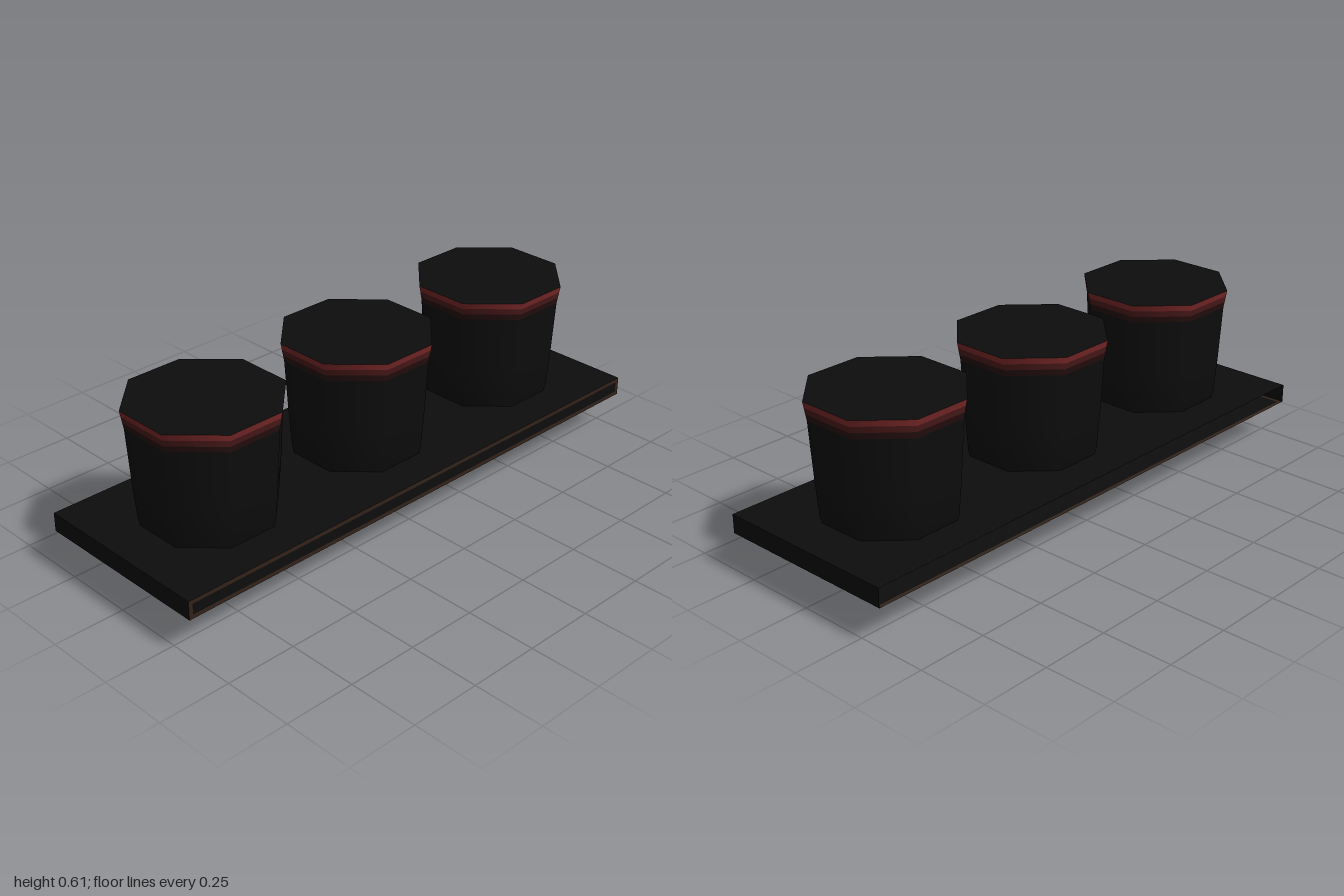
import * as THREE from 'three';

const SIDES = 8;
const FLAT = Math.cos(Math.PI / SIDES); // flat-to-flat half width over corner radius

const paint = (color) => new THREE.MeshStandardMaterial({ color, side: THREE.DoubleSide });
const black = paint(0x0d0d0d);
const brown = paint(0x33231a);
const rimReds = [0x260f0f, 0x4c1a1a, 0x7a2828].map(paint);

function add(group, name, geometry, material) {
  const mesh = new THREE.Mesh(geometry, material);
  mesh.name = name;
  group.add(mesh);
  return mesh;
}

// Eight-sided wall through [half width, height] points, flats facing the axes
function wall(points) {
  const profile = points.map(([r, y]) => new THREE.Vector2(r / FLAT, y));
  return new THREE.LatheGeometry(profile, SIDES, Math.PI / SIDES);
}

function createPot() {
  const pot = new THREE.Group();
  pot.name = 'pot';
  add(pot, 'pointedBase', wall([[0, 0], [0.165, 0.056]]), black);
  add(pot, 'body', wall([[0.165, 0.056], [0.213, 0.222], [0.222, 0.345], [0.233, 0.548]]), black);

  // Rim brightening towards the top
  const rimAt = (t) => [0.233 + 0.01 * t, 0.548 + 0.064 * t];
  rimReds.forEach((material, i) => {
    add(pot, 'rimBand', wall([rimAt(i / 3), rimAt((i + 1) / 3)]), material);
  });

  const lid = new THREE.CircleGeometry(0.243 / FLAT, SIDES, Math.PI / SIDES);
  lid.rotateX(-Math.PI / 2).translate(0, 0.612, 0);
  add(pot, 'lid', lid, black);
  return pot;
}

// Flat dark panel with a thin brown border
function borderedPanel(name, w, h, border) {
  const panel = new THREE.Group();
  panel.name = name;
  const rect = (Type, a, b) => new Type([
    new THREE.Vector2(-a, -b), new THREE.Vector2(a, -b),
    new THREE.Vector2(a, b), new THREE.Vector2(-a, b),
  ]);
  const outline = rect(THREE.Shape, w / 2, h / 2);
  outline.holes.push(rect(THREE.Path, w / 2 - border, h / 2 - border));
  add(panel, 'border', new THREE.ShapeGeometry(outline), brown);
  add(panel, 'field', new THREE.PlaneGeometry(w - 2 * border, h - 2 * border), black);
  return panel;
}

// Thin hollow shelf, open at the back
function createShelf() {
  const shelf = new THREE.Group();
  shelf.name = 'shelf';
  const width = 2, depth = 0.667, bottom = 0.134, top = 0.2;
  const height = top - bottom, middle = (top + bottom) / 2;

  const topPanel = add(shelf, 'shelfTop', new THREE.PlaneGeometry(width, depth), black);
  topPanel.rotation.x = -Math.PI / 2;
  topPanel.position.y = top;

  const underside = borderedPanel('shelfUnderside', width, depth, 0.014);
  underside.rotation.x = Math.PI / 2;
  underside.position.y = bottom;

  const front = borderedPanel('shelfFront', width, height, 0.014);
  front.position.set(0, middle, depth / 2);
  shelf.add(underside, front);

  for (const side of [-1, 1]) {
    const end = add(shelf, 'shelfEnd', new THREE.PlaneGeometry(depth, height), black);
    end.rotation.y = side * Math.PI / 2;
    end.position.set(side * width / 2, middle, 0);
  }
  return shelf;
}

export function createModel() {
  const model = new THREE.Group();
  model.name = 'pottedShelf';
  model.add(createShelf());
  for (const x of [-0.643, 0, 0.643]) {
    const pot = createPot();
    pot.position.x = x;
    model.add(pot);
  }
  return model;
}
